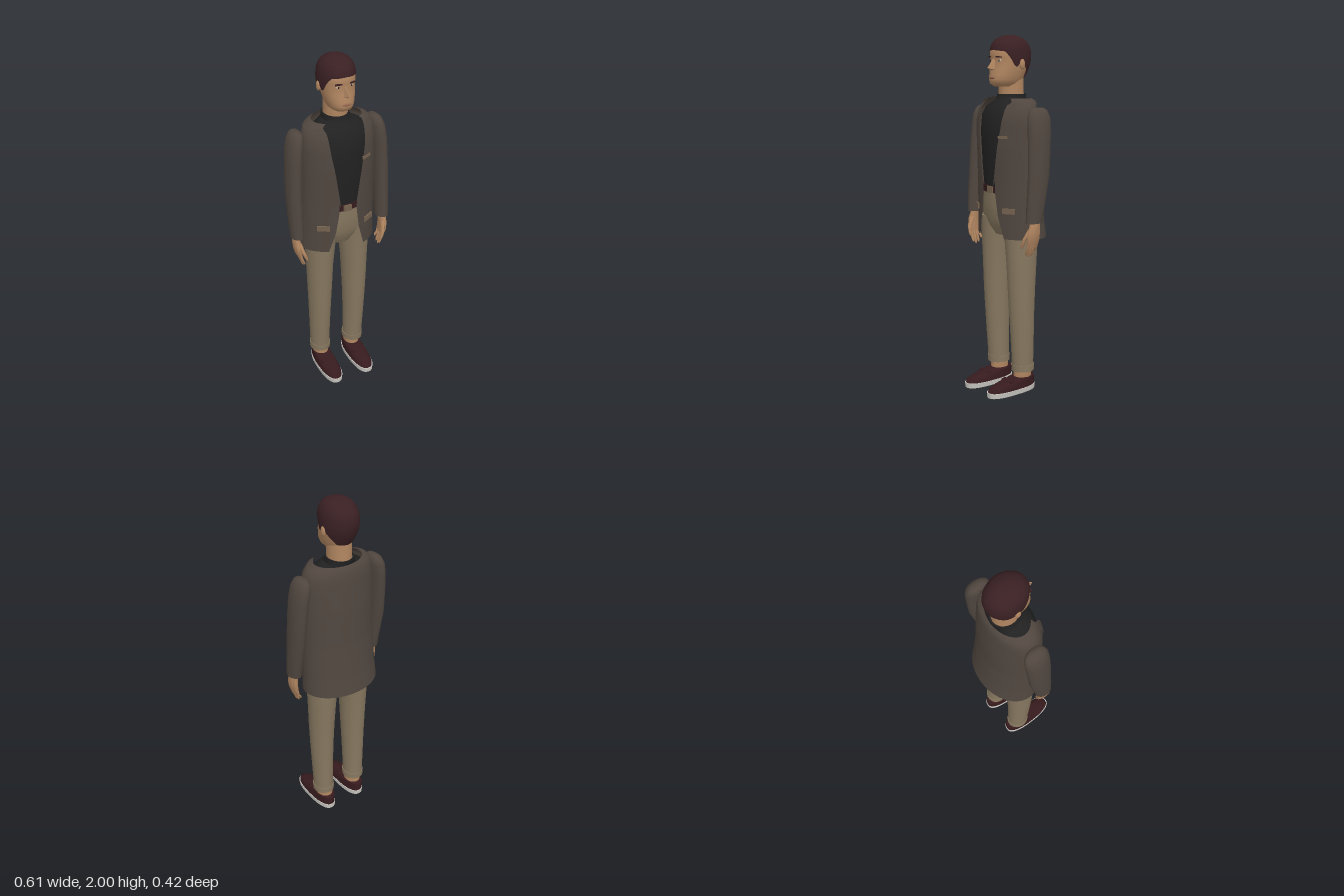
import * as THREE from 'three';
import { toCreasedNormals } from 'three/addons/utils/BufferGeometryUtils.js';
import { ConvexGeometry } from 'three/addons/geometries/ConvexGeometry.js';

const paint = (name, color, side = THREE.FrontSide) => {
  const m = new THREE.MeshStandardMaterial({ color, side });
  m.name = name;
  return m;
};
const M = {
  coat: paint('coat brown', 0x50463f, THREE.DoubleSide),
  shirt: paint('shirt black', 0x212121, THREE.DoubleSide),
  trousers: paint('trouser khaki', 0x877860),
  skin: paint('skin', 0xb08560),
  hair: paint('hair dark brown', 0x3a2023, THREE.DoubleSide),
  leather: paint('leather', 0x371b1e),
  sole: paint('sole off-white', 0xc9c6c0),
  trim: paint('trim taupe', 0x75624f),
  lip: paint('lip', 0x93664f),
  white: paint('eye white', 0xd8d2c8),
};

// Linear lookup in a table of rows whose first entry is the key
function sample(table, t) {
  let i = 1;
  while (i < table.length - 1 && table[i][0] < t) i++;
  const a = table[i - 1], b = table[i];
  const k = THREE.MathUtils.clamp((t - a[0]) / (b[0] - a[0]), 0, 1);
  return a.map((n, j) => n + (b[j] - n) * k);
}

// Grid surface: fn(u, v) gives a point, u runs around and v runs up
function surface(fn, nu, nv, crease = 0.9) {
  const pos = [], index = [];
  for (let i = 0; i <= nv; i++) for (let j = 0; j <= nu; j++) pos.push(...fn(j / nu, i / nv));
  for (let i = 0; i < nv; i++) {
    for (let j = 0; j < nu; j++) {
      const a = i * (nu + 1) + j, d = a + nu + 1;
      index.push(a, a + 1, d + 1, a, d + 1, d);
    }
  }
  const g = new THREE.BufferGeometry();
  g.setAttribute('position', new THREE.Float32BufferAttribute(pos, 3));
  g.setIndex(index);
  return toCreasedNormals(g, crease);
}

// Point on a cross-section [y, centre x, half width, front z, back z]
function ringPoint([y, cx, w, zf, zb], angle, power = 2) {
  const bend = (n) => Math.sign(n) * Math.abs(n) ** (2 / power);
  return [cx + w * bend(Math.sin(angle)), y, (zf + zb) / 2 + ((zf - zb) / 2) * bend(Math.cos(angle))];
}

// Closed loft through rings listed from bottom to top; s = -1 mirrors it
function loft(rings, { s = 1, power = 2, caps = true, sides = 28 } = {}) {
  const pole = ([y, cx, , f, b]) => [y, cx, 0, (f + b) / 2, (f + b) / 2];
  const all = caps ? [pole(rings[0]), ...rings, pole(rings[rings.length - 1])] : rings;
  const n = all.length - 1;
  return surface((u, v) => {
    const [y, cx, ...rest] = all[Math.round(v * n)];
    return ringPoint([y, cx * s, ...rest], (u * 2 - 1) * Math.PI, power);
  }, sides, n);
}

const COAT = [
  [0.895, 0, 0.228, 0.12, -0.207], [1.0, 0, 0.222, 0.122, -0.19], [1.2, 0, 0.215, 0.125, -0.168],
  [1.4, 0, 0.214, 0.13, -0.16], [1.54, 0, 0.213, 0.123, -0.147], [1.6, 0, 0.203, 0.108, -0.14],
  [1.635, 0, 0.18, 0.09, -0.13], [1.655, 0, 0.142, 0.072, -0.12],
];
// Half width of the coat's front opening by height
const OPENING = [[0.895, 0.107], [1.02, 0.07], [1.15, 0.052], [1.2, 0.052], [1.4, 0.082], [1.52, 0.103], [1.655, 0.115]];
const coatZ = (x, y) => {
  const [, , w, f, b] = sample(COAT, y);
  return (f + b) / 2 + ((f - b) / 2) * Math.sqrt(Math.max(0, 1 - (x / w) ** 2));
};

const HAIR = [
  [1.765, 0, 0.074, 0.06, -0.108], [1.8, 0, 0.087, 0.07, -0.128], [1.84, 0, 0.097, 0.082, -0.145],
  [1.88, 0, 0.1, 0.09, -0.153], [1.92, 0, 0.098, 0.091, -0.15], [1.95, 0, 0.09, 0.082, -0.137],
  [1.975, 0, 0.073, 0.06, -0.113], [1.99, 0, 0.05, 0.03, -0.085], [1.998, 0, 0.025, 0, -0.055], [2.0, 0, 0, -0.03, -0.03],
];
// Hairline height by angle from the front
const HAIRLINE = [[0, 1.918], [0.75, 1.91], [1.0, 1.875], [1.2, 1.83], [1.36, 1.83], [1.55, 1.868], [1.75, 1.84], [2.4, 1.775], [3.2, 1.768]];

export function createModel() {
  const root = new THREE.Group();
  const add = (name, geo, mat, x = 0, y = 0, z = 0) => {
    const m = new THREE.Mesh(geo, mat);
    m.name = name;
    m.position.set(x, y, z);
    root.add(m);
    return m;
  };
  const box = (...d) => new THREE.BoxGeometry(...d);
  const ball = new THREE.SphereGeometry(1, 18, 12);

  // Head and neck
  add('head', loft([
    [1.722, 0, 0.045, 0.07, -0.06], [1.737, 0, 0.062, 0.096, -0.085], [1.76, 0, 0.072, 0.102, -0.1],
    [1.785, 0, 0.079, 0.097, -0.108], [1.82, 0, 0.086, 0.092, -0.122], [1.855, 0, 0.09, 0.083, -0.135],
    [1.88, 0, 0.092, 0.089, -0.142], [1.92, 0, 0.09, 0.086, -0.14], [1.96, 0, 0.07, 0.055, -0.11],
  ], { power: 2.2 }), M.skin);
  add('neck', loft([[1.6, 0, 0.07, 0.04, -0.115], [1.69, 0, 0.065, 0.035, -0.108], [1.78, 0, 0.066, 0.04, -0.105]]), M.skin);
  add('nose', new ConvexGeometry([
    [0, 1.872, 0.09], [-0.008, 1.87, 0.078], [0.008, 1.87, 0.078], [0, 1.822, 0.13],
    [-0.018, 1.812, 0.085], [0.018, 1.812, 0.085], [0, 1.81, 0.108],
  ].map((p) => new THREE.Vector3(...p))), M.skin);
  add('mouth', ball, M.lip, 0, 1.77, 0.099).scale.set(0.026, 0.007, 0.006);

  // Hair cap with sideburns
  add('hair', surface((u, v) => {
    const angle = (u * 2 - 1) * Math.PI;
    const low = sample(HAIRLINE, Math.abs(angle))[1];
    return ringPoint(sample(HAIR, low + (2 - low) * Math.sin(v * Math.PI / 2)), angle);
  }, 60, 18), M.hair);

  // Shirt with a rolled neck
  add('shirt', loft([
    [1.12, 0, 0.15, 0.1, -0.125], [1.3, 0, 0.165, 0.113, -0.135], [1.48, 0, 0.175, 0.119, -0.135],
    [1.57, 0, 0.172, 0.108, -0.128], [1.615, 0, 0.15, 0.085, -0.115], [1.645, 0, 0.095, 0.058, -0.112],
    [1.655, 0, 0.077, 0.05, -0.122], [1.682, 0, 0.074, 0.044, -0.122], [1.68, 0, 0.065, 0.036, -0.112],
  ], { caps: false }), M.shirt);

  // Open coat
  add('coat', surface((u, v) => {
    const ring = sample(COAT, 0.895 + v * 0.76);
    const start = Math.asin(sample(OPENING, ring[0])[1] / ring[2]);
    return ringPoint(ring, start + u * (2 * Math.PI - 2 * start));
  }, 48, 30), M.coat);
  add('collar', surface((u, v) => {
    const [w, f, b, y] = [[0.192, 0.094, -0.14, 1.628], [0.176, 0.09, -0.134, 1.648], [0.142, 0.073, -0.122, 1.66]][Math.round(v * 2)];
    return ringPoint([y, 0, w, f, b], 0.75 + u * (2 * Math.PI - 1.5));
  }, 40, 2), M.coat);

  // Trousers, belt and buckle
  add('trouserSeat', loft([
    [0.9, 0, 0.1, 0.05, -0.1], [0.95, 0, 0.155, 0.078, -0.125], [1.0, 0, 0.187, 0.094, -0.138],
    [1.08, 0, 0.175, 0.1, -0.135], [1.155, 0, 0.155, 0.102, -0.125],
  ]), M.trousers);
  add('belt', loft([[1.142, 0, 0.162, 0.109, -0.13], [1.18, 0, 0.162, 0.111, -0.13]]), M.leather);
  add('buckle', box(0.046, 0.036, 0.008), M.trim, 0, 1.161, 0.114);

  // Patch on the coat front for flaps
  const flap = (name, x, y, w, h, tilt) => {
    const m = add(name, box(w, h, 0.009), M.trim, x, y, coatZ(x, y) + 0.005);
    m.rotation.set(0, Math.atan((coatZ(x - 0.02, y) - coatZ(x + 0.02, y)) / 0.04), tilt);
  };
  flap('breastPocket', 0.11, 1.455, 0.055, 0.016, 0.08);

  for (const s of [1, -1]) {
    const side = s > 0 ? 'left' : 'right';
    // Face details
    add(side + 'Ear', ball, M.skin, s * 0.098, 1.843, -0.034).scale.set(0.01, 0.028, 0.017);
    const eye = add(side + 'Eye', ball, M.white, s * 0.036, 1.863, 0.073);
    eye.scale.set(0.014, 0.006, 0.006);
    eye.rotation.y = s * 0.3;
    add(side + 'Iris', ball, M.shirt, s * 0.036, 1.863, 0.077).scale.set(0.005, 0.006, 0.004);
    const brow = add(side + 'Brow', box(0.036, 0.007, 0.008), M.hair, s * 0.039, 1.881, 0.082);
    brow.rotation.set(0, s * 0.3, s * -0.06);

    // Lapel folded over the coat front
    add(side + 'Lapel', surface((u, v) => {
      const y = 1.19 + v * 0.44;
      const inner = sample(OPENING, y)[1] - 0.003;
      const width = sample([[1.19, 0.003], [1.4, 0.04], [1.54, 0.055], [1.63, 0.045]], y)[1];
      const x = inner + width * (s > 0 ? u : 1 - u);
      return [s * x, y, coatZ(x, y) + 0.007];
    }, 4, 14), M.coat);
    flap(side + 'PocketFlap', s * 0.138, 1.053, 0.072, 0.03, 0);

    // Sleeve
    add(side + 'Sleeve', loft([
      [1.0, 0.263, 0.037, 0.068, -0.032], [1.1, 0.264, 0.04, 0.064, -0.05], [1.25, 0.264, 0.041, 0.055, -0.08],
      [1.4, 0.258, 0.043, 0.05, -0.092], [1.5, 0.25, 0.044, 0.046, -0.1], [1.565, 0.241, 0.041, 0.04, -0.102],
      [1.6, 0.233, 0.032, 0.025, -0.09], [1.613, 0.23, 0.018, 0.005, -0.07],
    ], { s }), M.coat);

    // Hand, fingers and thumb
    add(side + 'Palm', loft([
      [0.885, 0.262, 0.014, 0.062, -0.012], [0.91, 0.266, 0.018, 0.068, -0.016], [0.95, 0.27, 0.02, 0.064, -0.016],
      [0.985, 0.268, 0.021, 0.05, -0.015], [1.03, 0.265, 0.022, 0.045, -0.02],
    ], { s }), M.skin);
    for (let k = 0; k < 4; k++) {
      const z = 0.053 - k * 0.0185, tip = [0.822, 0.81, 0.816, 0.838][k];
      add(side + 'Finger' + (k + 1), loft([
        [tip, 0.238, 0.004, z + 0.004, z - 0.004], [tip + 0.012, 0.242, 0.008, z + 0.008, z - 0.008],
        [0.865, 0.255, 0.009, z + 0.009, z - 0.009], [0.905, 0.263, 0.01, z + 0.01, z - 0.01],
      ], { s, sides: 10 }), M.skin);
    }
    add(side + 'Thumb', loft([
      [0.862, 0.232, 0.005, 0.083, 0.072], [0.876, 0.236, 0.009, 0.086, 0.067],
      [0.915, 0.25, 0.011, 0.083, 0.06], [0.965, 0.263, 0.013, 0.058, 0.025],
    ], { s, sides: 10 }), M.skin);

    // Trouser leg with turn-up
    add(side + 'TrouserLeg', loft([
      [0.13, 0.11, 0.056, 0.03, -0.096], [0.3, 0.112, 0.06, 0.042, -0.097], [0.45, 0.112, 0.065, 0.052, -0.098],
      [0.6, 0.111, 0.071, 0.06, -0.103], [0.75, 0.109, 0.076, 0.067, -0.113], [0.9, 0.104, 0.086, 0.076, -0.122],
      [1.0, 0.098, 0.088, 0.085, -0.125],
    ], { s }), M.trousers);
    add(side + 'TurnUp', loft([[0.12, 0.11, 0.061, 0.033, -0.1], [0.155, 0.11, 0.061, 0.035, -0.1]], { s }), M.trousers);

    // Ankle, shoe and sole
    add(side + 'Ankle', loft([[0.06, 0.105, 0.045, 0.02, -0.092], [0.14, 0.106, 0.047, 0.015, -0.085]], { s }), M.skin);
    add(side + 'Shoe', loft([
      [0.02, 0.104, 0.057, 0.207, -0.113], [0.042, 0.104, 0.056, 0.2, -0.113], [0.056, 0.104, 0.053, 0.17, -0.113],
      [0.068, 0.104, 0.051, 0.115, -0.112], [0.08, 0.104, 0.049, 0.05, -0.11], [0.084, 0.104, 0.045, 0.03, -0.105],
    ], { s, power: 2.4 }), M.leather);
    add(side + 'ShoeStrap', box(0.085, 0.012, 0.026), M.leather, s * 0.104, 0.071, 0.07).rotation.x = 0.18;
    add(side + 'Sole', loft([[0, 0.104, 0.057, 0.208, -0.115], [0.028, 0.104, 0.06, 0.21, -0.116]], { s, power: 2.5 }), M.sole);
  }
  return root;
}
